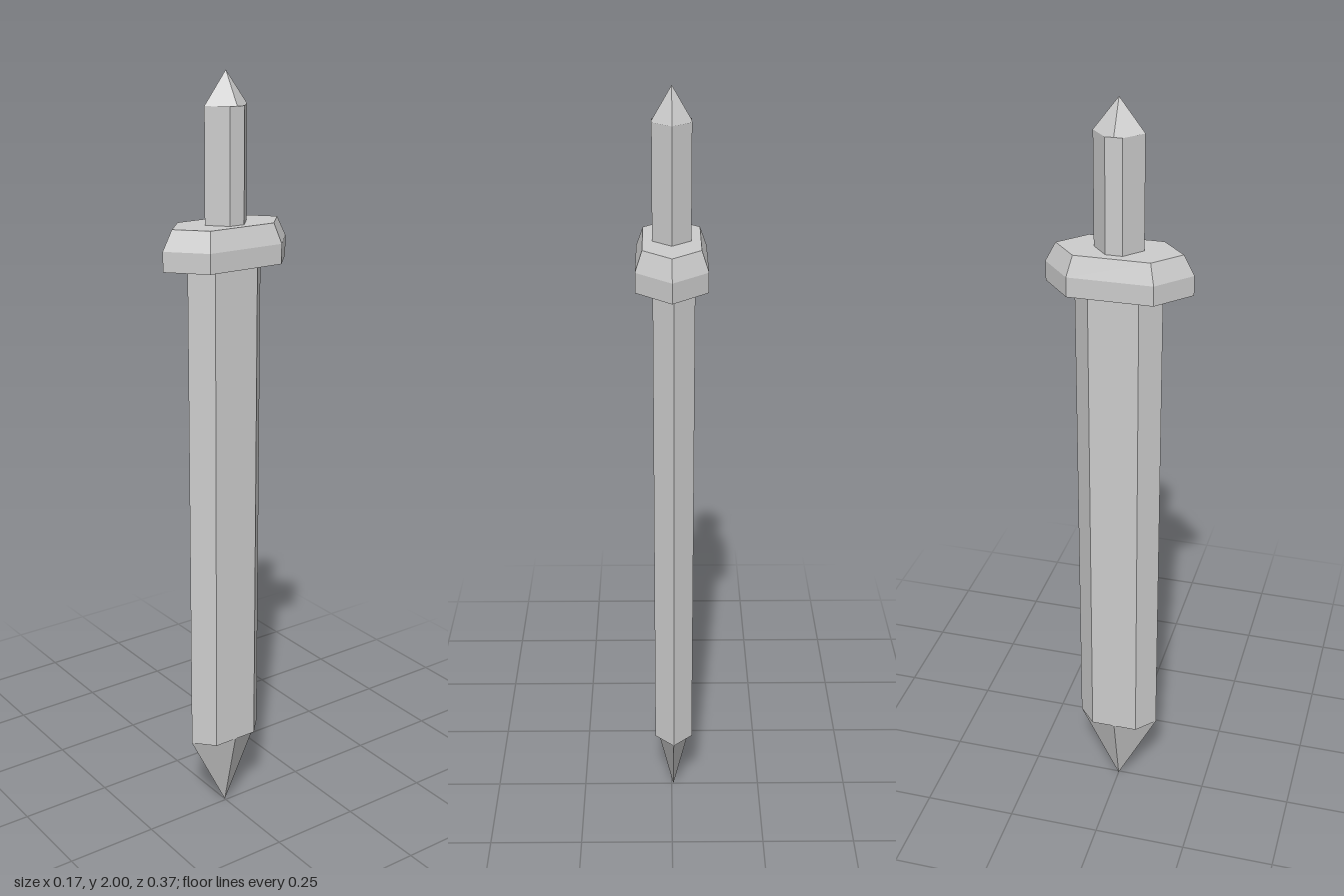
import * as THREE from 'three';

const steel = new THREE.MeshStandardMaterial({ color: 0xcccccc });
steel.name = 'steel grey';

// Six-sided outline, counterclockwise from above: side corners at +-cz, ridges at +-hz
function ring(hx, cz, hz, y, x = 0) {
  return [[hx, cz], [hx, -cz], [0, -hz], [-hx, -cz], [-hx, cz], [0, hz]]
    .map(([px, pz]) => new THREE.Vector3(px + x, y, pz));
}

// Flat-shaded mesh from polygons, one normal for each polygon
function facesMesh(name, faces) {
  const pos = [], nor = [], edge = new THREE.Vector3();
  for (const f of faces) {
    const n = new THREE.Vector3();
    f.forEach((p, i) => n.add(edge.crossVectors(p, f[(i + 1) % f.length])));
    n.normalize();
    for (let i = 1; i < f.length - 1; i++) {
      for (const p of [f[0], f[i], f[i + 1]]) {
        pos.push(p.x, p.y, p.z);
        nor.push(n.x, n.y, n.z);
      }
    }
  }
  const g = new THREE.BufferGeometry();
  g.setAttribute('position', new THREE.Float32BufferAttribute(pos, 3));
  g.setAttribute('normal', new THREE.Float32BufferAttribute(nor, 3));
  const mesh = new THREE.Mesh(g, steel);
  mesh.name = name;
  return mesh;
}

// Walls between consecutive rings, from bottom to top
function walls(rings) {
  const faces = [];
  for (let r = 0; r < rings.length - 1; r++) {
    const lo = rings[r], hi = rings[r + 1];
    lo.forEach((p, i) => {
      const j = (i + 1) % lo.length;
      faces.push([p, lo[j], hi[j], hi[i]]);
    });
  }
  return faces;
}

// Four-faceted point on a ring; each facet folds over one side corner
function spike(base, apex) {
  const [a, b, n, c, d, s] = base;
  const e = a.clone().lerp(b, 0.5), w = c.clone().lerp(d, 0.5);
  const up = apex.y > a.y;
  return [[e, b, n], [n, c, w], [w, d, s], [s, a, e]]
    .map((f) => [...(up ? f : f.reverse()), apex]);
}

export function createModel() {
  const sword = new THREE.Group();
  sword.name = 'sword';

  // Blade, pointing down
  const bladeX = -0.005;
  const bladeLow = ring(0.051, 0.063, 0.11, 0.22, bladeX);
  const bladeTop = ring(0.051, 0.063, 0.11, 1.55, bladeX);
  sword.add(facesMesh('blade', walls([bladeLow, bladeTop])));
  sword.add(facesMesh('bladeTip', spike(bladeLow, new THREE.Vector3(bladeX, 0, 0))));

  // Guard with a bevelled upper edge
  const guard = [
    ring(0.087, 0.106, 0.184, 1.54),
    ring(0.087, 0.106, 0.184, 1.59),
    ring(0.07, 0.094, 0.157, 1.64),
  ];
  sword.add(facesMesh('guard', [...walls(guard), guard[2], [...guard[0]].reverse()]));

  // Grip and pointed pommel
  const gripLow = ring(0.047, 0.021, 0.062, 1.63);
  const gripTop = ring(0.047, 0.021, 0.062, 1.92);
  sword.add(facesMesh('grip', walls([gripLow, gripTop])));
  sword.add(facesMesh('pommel', spike(gripTop, new THREE.Vector3(0, 2, 0))));

  return sword;
}
